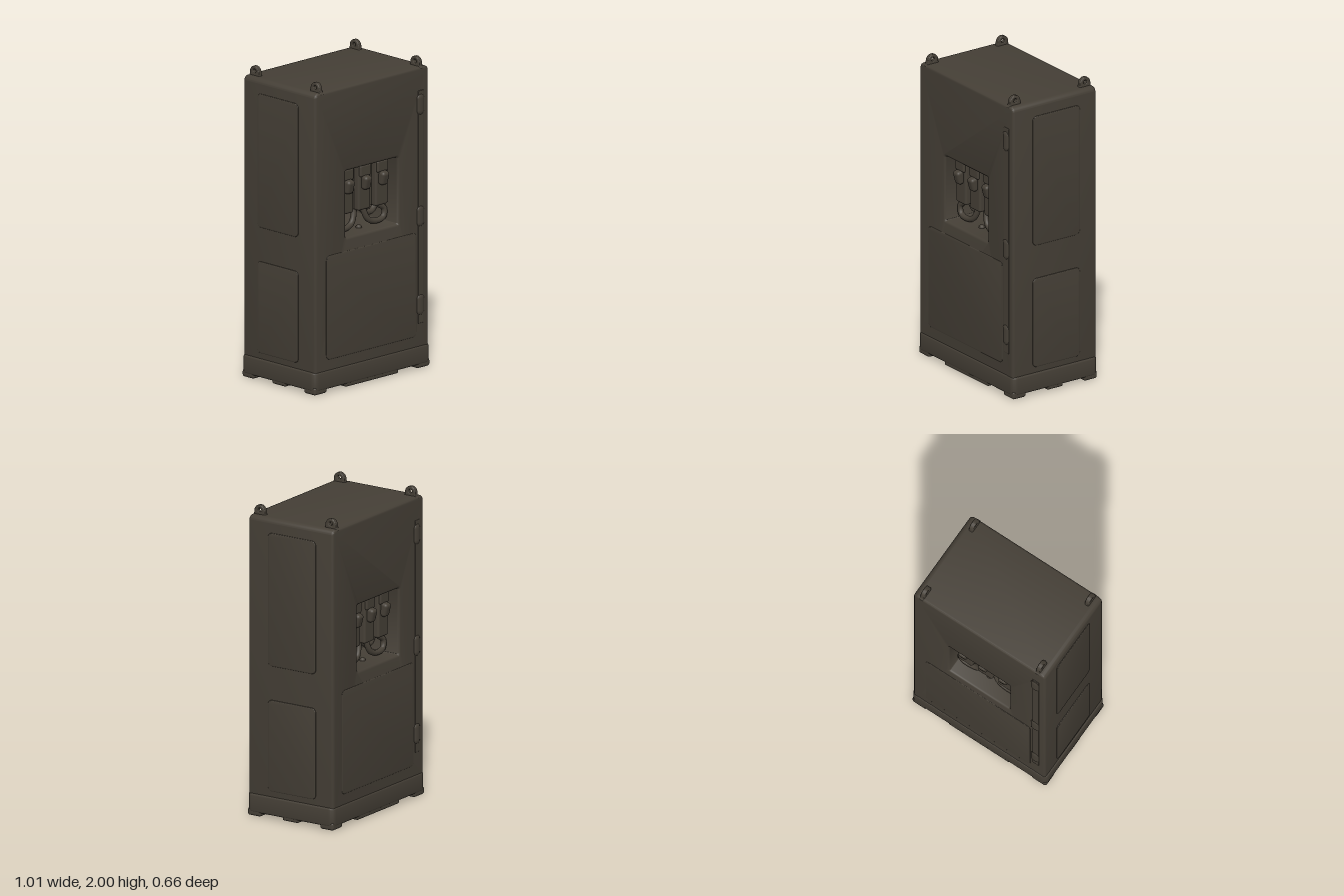
import * as THREE from 'three';
import { toCreasedNormals } from 'three/addons/utils/BufferGeometryUtils.js';
import { RoundedBoxGeometry } from 'three/addons/geometries/RoundedBoxGeometry.js';

// Rounded rectangle outline from its limits
function roundRect(x0, y0, x1, y1, r, Type = THREE.Shape) {
  const s = new Type();
  s.moveTo(x0 + r, y0);
  s.lineTo(x1 - r, y0);
  s.absarc(x1 - r, y0 + r, r, -Math.PI / 2, 0);
  s.lineTo(x1, y1 - r);
  s.absarc(x1 - r, y1 - r, r, 0, Math.PI / 2);
  s.lineTo(x0 + r, y1);
  s.absarc(x0 + r, y1 - r, r, Math.PI / 2, Math.PI);
  s.lineTo(x0, y0 + r);
  s.absarc(x0 + r, y0 + r, r, Math.PI, Math.PI * 1.5);
  return s;
}

// Bevelled extrusion centred on z = 0, total thickness `depth`
function slab(shape, depth, bevel) {
  const g = new THREE.ExtrudeGeometry(shape, {
    depth: depth - 2 * bevel, bevelEnabled: true, bevelThickness: bevel,
    bevelSize: bevel, bevelOffset: -bevel, bevelSegments: 3, curveSegments: 6,
  });
  g.translate(0, 0, bevel - depth / 2);
  return toCreasedNormals(g, 0.7);
}

export function createModel() {
  const model = new THREE.Group();
  model.name = 'electricalCabinet';
  const metal = new THREE.MeshStandardMaterial({ color: 0x453f36 });
  metal.name = 'dark painted metal';

  function add(parent, name, geometry, x = 0, y = 0, z = 0) {
    const m = new THREE.Mesh(geometry, metal);
    m.name = name;
    m.position.set(x, y, z);
    parent.add(m);
    return m;
  }

  // Cabinet shell with a window running right through it
  const outline = roundRect(-0.495, 0.09, 0.495, 1.94, 0.035);
  outline.holes.push(roundRect(-0.228, 0.965, 0.225, 1.395, 0.01, THREE.Path));
  add(model, 'cabinetBody', slab(outline, 0.638, 0.016));

  // Hollow plinth
  const ring = roundRect(-0.505, -0.325, 0.505, 0.325, 0.035);
  ring.holes.push(roundRect(-0.41, -0.235, 0.41, 0.235, 0.05, THREE.Path));
  const plinth = slab(ring, 0.12, 0.012);
  plinth.rotateX(-Math.PI / 2);
  add(model, 'plinth', plinth, 0, 0.084, 0);

  // Feet under the plinth: corners, long sides and short sides
  for (const s of [-1, 1]) {
    for (const t of [-1, 1]) {
      add(model, 'cornerFoot', new RoundedBoxGeometry(0.11, 0.05, 0.1, 3, 0.015), s * 0.448, 0.025, t * 0.273);
    }
    add(model, 'longSideFoot', new RoundedBoxGeometry(0.46, 0.04, 0.085, 3, 0.012), 0, 0.024, s * 0.28);
    add(model, 'shortSideFoot', new RoundedBoxGeometry(0.085, 0.04, 0.12, 3, 0.012), s * 0.46, 0.026, 0);
  }

  // Lifting eyes on the roof
  const ear = new THREE.Shape();
  ear.moveTo(-0.052, 0);
  ear.quadraticCurveTo(-0.04, 0.005, -0.04, 0.03);
  ear.absarc(0, 0.03, 0.04, Math.PI, 0, true);
  ear.quadraticCurveTo(0.04, 0.005, 0.052, 0);
  ear.closePath();
  const eyeHole = new THREE.Path();
  eyeHole.absarc(0, 0.037, 0.012, 0, Math.PI * 2);
  ear.holes.push(eyeHole);
  const earGeometry = slab(ear, 0.03, 0.007);
  earGeometry.rotateY(Math.PI / 2);
  for (const s of [-1, 1]) {
    for (const t of [-1, 1]) add(model, 'liftingEye', earGeometry, s * 0.435, 1.93, t * 0.268);
  }

  // Raised panels on both flanks
  for (const s of [-1, 1]) {
    for (const [y0, y1] of [[0.18, 0.77], [0.99, 1.85]]) {
      const g = slab(roundRect(-0.18, y0, 0.18, y1, 0.03), 0.014, 0.005);
      g.rotateY(Math.PI / 2);
      add(model, 'sidePanel', g, s * 0.494, 0, -0.01);
    }
  }

  // Cables hanging under the switches, given for the +x half
  const cablePaths = [
    [[0.035, 1.13], [0.045, 1.06], [0.075, 1.005], [0.14, 0.985], [0.2, 1.0], [0.212, 1.05], [0.17, 1.085], [0.15, 1.13]],
    [[0.075, 1.13], [0.075, 1.07], [0.11, 1.035], [0.165, 1.03], [0.205, 1.07], [0.19, 1.13]],
  ];

  // Front and back faces are the same, turned half a turn
  for (const turn of [0, Math.PI]) {
    const face = new THREE.Group();
    face.name = turn ? 'backFace' : 'frontFace';
    face.rotation.y = turn;
    model.add(face);

    // Shallow lower door panel and hinge strip
    add(face, 'lowerDoorPanel', slab(roundRect(-0.4, 0.21, 0.385, 0.88, 0.03), 0.01, 0.004), 0, 0, 0.3165);
    add(face, 'hingeStrip', new RoundedBoxGeometry(0.05, 1.5, 0.012, 2, 0.005), 0.425, 1.04, 0.317);
    for (const y of [0.41, 0.98, 1.7]) {
      const hinge = add(face, 'hinge', new THREE.CapsuleGeometry(0.03, 0.075, 6, 14), 0.42, y, 0.318);
      hinge.scale.z = 0.45;
    }

    // Switch bank with three breakers
    add(face, 'switchMount', new THREE.BoxGeometry(0.45, 0.3, 0.215), 0, 1.247, 0.1075);
    for (const x of [-0.15, 0, 0.15]) {
      add(face, 'breaker', new RoundedBoxGeometry(0.108, 0.3, 0.1, 3, 0.014), x, 1.24, 0.205);
      add(face, 'breakerHead', new RoundedBoxGeometry(0.095, 0.075, 0.03, 3, 0.012), x, 1.345, 0.252);
      const lever = add(face, 'switchLever', new RoundedBoxGeometry(0.062, 0.09, 0.055, 3, 0.02), x, 1.27, 0.265);
      lever.rotation.x = 0.25;
    }

    for (const s of [-1, 1]) {
      cablePaths.forEach((path, i) => {
        const points = path.map(([x, y], k) =>
          new THREE.Vector3(s * x, y, 0.19 - i * 0.07 + 0.025 * Math.sin((k / (path.length - 1)) * Math.PI)));
        add(face, 'cable', new THREE.TubeGeometry(new THREE.CatmullRomCurve3(points), 32, 0.019, 10));
      });
    }
    // Cable clamp on the window sill
    add(face, 'cableClamp', new THREE.SphereGeometry(0.02, 14, 8), 0, 0.965, 0.2);
  }

  return model;
}
